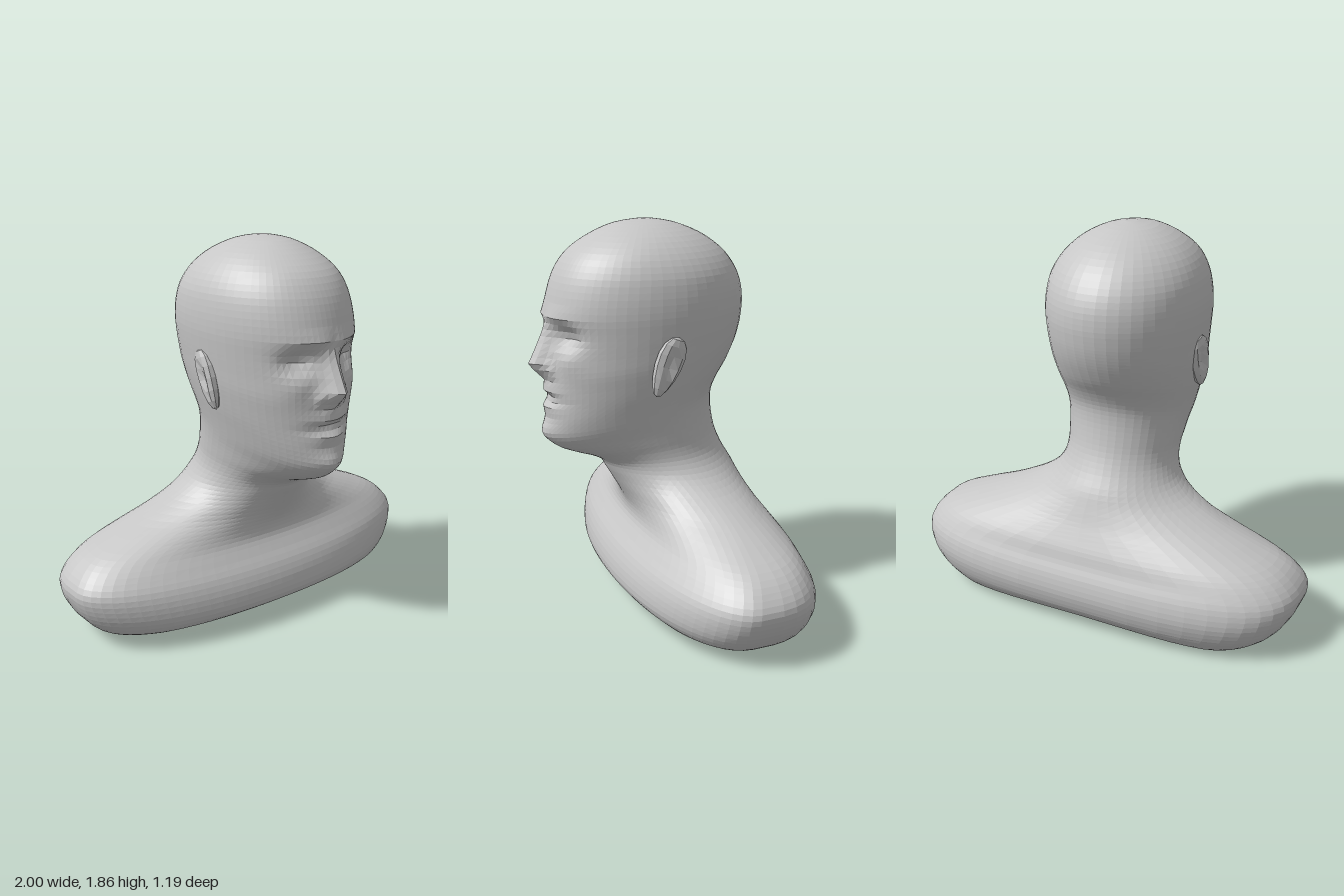
import * as THREE from 'three';

// Smooth interpolation through rows of numbers, t from 0 to 1
function sampleRows(rows, t) {
  const f = t * (rows.length - 1), i = Math.min(Math.floor(f), rows.length - 2), k = f - i;
  const p0 = rows[Math.max(i - 1, 0)], p1 = rows[i], p2 = rows[i + 1], p3 = rows[Math.min(i + 2, rows.length - 1)];
  return p1.map((b, j) => {
    const m1 = (p2[j] - p0[j]) / 2, m2 = (p3[j] - b) / 2, d = p2[j] - b;
    return b + k * m1 + k * k * (3 * d - 2 * m1 - m2) + k * k * k * (m1 + m2 - 2 * d);
  });
}

// Skin of rings that may tilt between front and back, packed more densely at the front
function loft(rows, ringCount, segments, warp, sculpt) {
  const pos = [], index = [];
  const put = (x, y, z) => { const p = sculpt(x, y, z); pos.push(p[0], p[1], p[2]); };
  const bend = (v, n) => Math.sign(v) * Math.pow(Math.abs(v), 2 / n);
  for (let r = 0; r <= ringCount; r++) {
    const [yf, yb, w, zf, zb, zc, nf, nb] = sampleRows(rows, r / ringCount);
    for (let s = 0; s < segments; s++) {
      const u = (s / segments) * Math.PI * 2 - Math.PI, a = u - warp * Math.sin(u);
      const c = Math.cos(a), n = c > 0 ? nf : nb;
      const z = zc + bend(c, n) * (c > 0 ? zf - zc : zc - zb);
      put(w * bend(Math.sin(a), n), yb + (yf - yb) * (z - zb) / (zf - zb), z);
    }
  }
  for (let r = 0; r < ringCount; r++) {
    for (let s = 0; s < segments; s++) {
      const a = r * segments + s, b = r * segments + (s + 1) % segments;
      index.push(a, b, b + segments, a, b + segments, a + segments);
    }
  }
  // close both ends
  const first = rows[0], last = rows[rows.length - 1], low = pos.length / 3;
  put(0, first[0], (first[3] + first[4]) / 2);
  put(0, last[0], (last[3] + last[4]) / 2);
  for (let s = 0; s < segments; s++) {
    const n = (s + 1) % segments, top = ringCount * segments;
    index.push(low, n, s, low + 1, top + s, top + n);
  }
  const g = new THREE.BufferGeometry();
  g.setAttribute('position', new THREE.Float32BufferAttribute(pos, 3));
  g.setIndex(index);
  g.computeVertexNormals();
  return g;
}

const bump = (v, centre, size) => Math.exp(-(((v - centre) / size) ** 2));

// Row: [y front, y back, half width, z front, z back, z widest, front power, back power]
const SHOULDERS = [
  [0.0, 0.0, 0.68, -0.12, -0.46, -0.3, 2.4, 3],
  [0.02, 0.02, 0.8, 0.02, -0.51, -0.22, 2.3, 3.2],
  [0.06, 0.06, 0.88, 0.18, -0.54, -0.16, 2.2, 3.3],
  [0.12, 0.12, 0.94, 0.24, -0.57, -0.14, 2.1, 3.3],
  [0.2, 0.2, 0.985, 0.24, -0.59, -0.13, 2.05, 3.2],
  [0.28, 0.28, 1.0, 0.21, -0.58, -0.13, 2.05, 3.1],
  [0.35, 0.35, 0.955, 0.16, -0.55, -0.15, 2.1, 3],
  [0.41, 0.41, 0.875, 0.125, -0.53, -0.17, 2.05, 2.7],
  [0.47, 0.47, 0.735, 0.125, -0.5, -0.18, 1.85, 2.4],
  [0.53, 0.53, 0.58, 0.15, -0.47, -0.18, 1.65, 2.1],
  [0.6, 0.6, 0.42, 0.19, -0.44, -0.16, 1.65, 2],
  [0.66, 0.67, 0.325, 0.225, -0.41, -0.13, 1.75, 2],
];
// Rings fan out from the nape to run along the jaw, then level off at the brow
const HEAD = [
  [0.71, 0.75, 0.28, 0.255, -0.365, -0.09, 1.85, 2],
  [0.745, 0.83, 0.267, 0.32, -0.33, -0.06, 1.85, 2],
  [0.77, 0.91, 0.27, 0.4, -0.31, -0.04, 1.8, 2],
  [0.8, 0.99, 0.277, 0.47, -0.3, -0.02, 1.75, 2],
  [0.85, 1.06, 0.288, 0.515, -0.305, 0, 1.8, 2],
  [0.92, 1.13, 0.303, 0.522, -0.335, 0, 1.9, 2],
  [1.0, 1.2, 0.32, 0.512, -0.38, 0, 2, 2],
  [1.08, 1.26, 0.334, 0.51, -0.41, 0, 2.05, 2],
  [1.16, 1.31, 0.345, 0.51, -0.43, 0, 2.1, 2],
  [1.25, 1.36, 0.353, 0.505, -0.444, 0, 2.1, 2],
  [1.35, 1.41, 0.361, 0.505, -0.452, 0, 2.1, 2],
  [1.45, 1.48, 0.367, 0.51, -0.456, 0, 2.1, 2],
  [1.55, 1.56, 0.363, 0.49, -0.445, 0, 2.1, 2],
  [1.64, 1.64, 0.345, 0.455, -0.41, 0, 2.1, 2],
  [1.72, 1.72, 0.3, 0.395, -0.345, 0.01, 2.1, 2],
  [1.79, 1.79, 0.225, 0.295, -0.245, 0.02, 2, 2],
  [1.84, 1.84, 0.125, 0.18, -0.12, 0.02, 2, 2],
  [1.86, 1.86, 0.03, 0.06, -0.01, 0.025, 2, 2],
];

function shapeBust(x, y, z) {
  const side = Math.abs(x);
  // arched underside
  const arch = y < 0.12 ? 0.035 * Math.max(0, 1 - (x / 0.65) ** 2) * (1 - y / 0.12) : 0;
  // nose, nostrils, eye sockets, brow, cheeks, lips and chin
  let d = 0;
  if (z > 0.15) {
    const ramp = y > 1.21 ? Math.max(0, (1.42 - y) / 0.21) : Math.max(0, (y - 1.12) / 0.09);
    d += 0.095 * ramp * bump(x, 0, 0.03 + 0.025 * ramp);
    d += 0.02 * bump(side, 0.07, 0.025) * bump(y, 1.18, 0.03);
    d -= 0.055 * bump(side, 0.14, 0.07) * bump(y, 1.35, 0.055);
    d += 0.015 * bump(side, 0.09, 0.11) * bump(y, 1.44, 0.03);
    d += 0.012 * bump(side, 0.17, 0.06) * bump(y, 1.24, 0.06);
    d += 0.02 * bump(x, 0, 0.09) * (bump(y, 1.09, 0.03) + bump(y, 1.0, 0.03));
    d -= 0.02 * bump(x, 0, 0.1) * bump(y, 1.045, 0.018);
    d += 0.022 * bump(x, 0, 0.09) * bump(y, 0.88, 0.045);
  }
  // slight sideways lean of the neck and head
  return [x - 0.019 * THREE.MathUtils.smoothstep(y, 0.5, 0.75), y + arch, z + d];
}

// Flattened oval with a hollow in its outer face and a narrower lobe
function earGeometry() {
  const g = new THREE.SphereGeometry(1, 10, 8), p = g.attributes.position;
  for (let i = 0; i < p.count; i++) {
    const y = p.getY(i), z = p.getZ(i), hollow = bump(Math.hypot(y - 0.1, z), 0, 0.5);
    p.setXYZ(i, p.getX(i) * 0.04 * (1 - 0.75 * hollow), y * 0.145, z * 0.07 * (1 + 0.3 * y));
  }
  g.computeVertexNormals();
  return g;
}

export function createModel() {
  const model = new THREE.Group();
  model.name = 'bust';
  const clay = new THREE.MeshStandardMaterial({ color: 0xc6c6c6, flatShading: true });
  clay.name = 'grey clay';
  const add = (name, geometry) => {
    const mesh = new THREE.Mesh(geometry, clay);
    mesh.name = name;
    model.add(mesh);
    return mesh;
  };

  add('headAndShoulders', loft([...SHOULDERS, ...HEAD], 90, 60, 0.35, shapeBust));

  // ears, leaning back and flaring slightly outwards
  for (const side of [-1, 1]) {
    const ear = add(side > 0 ? 'leftEar' : 'rightEar', earGeometry());
    ear.position.set(side * 0.348 - 0.012, 1.23, 0.045);
    ear.rotation.set(-0.35, side * 0.2, -side * 0.06);
  }
  return model;
}
